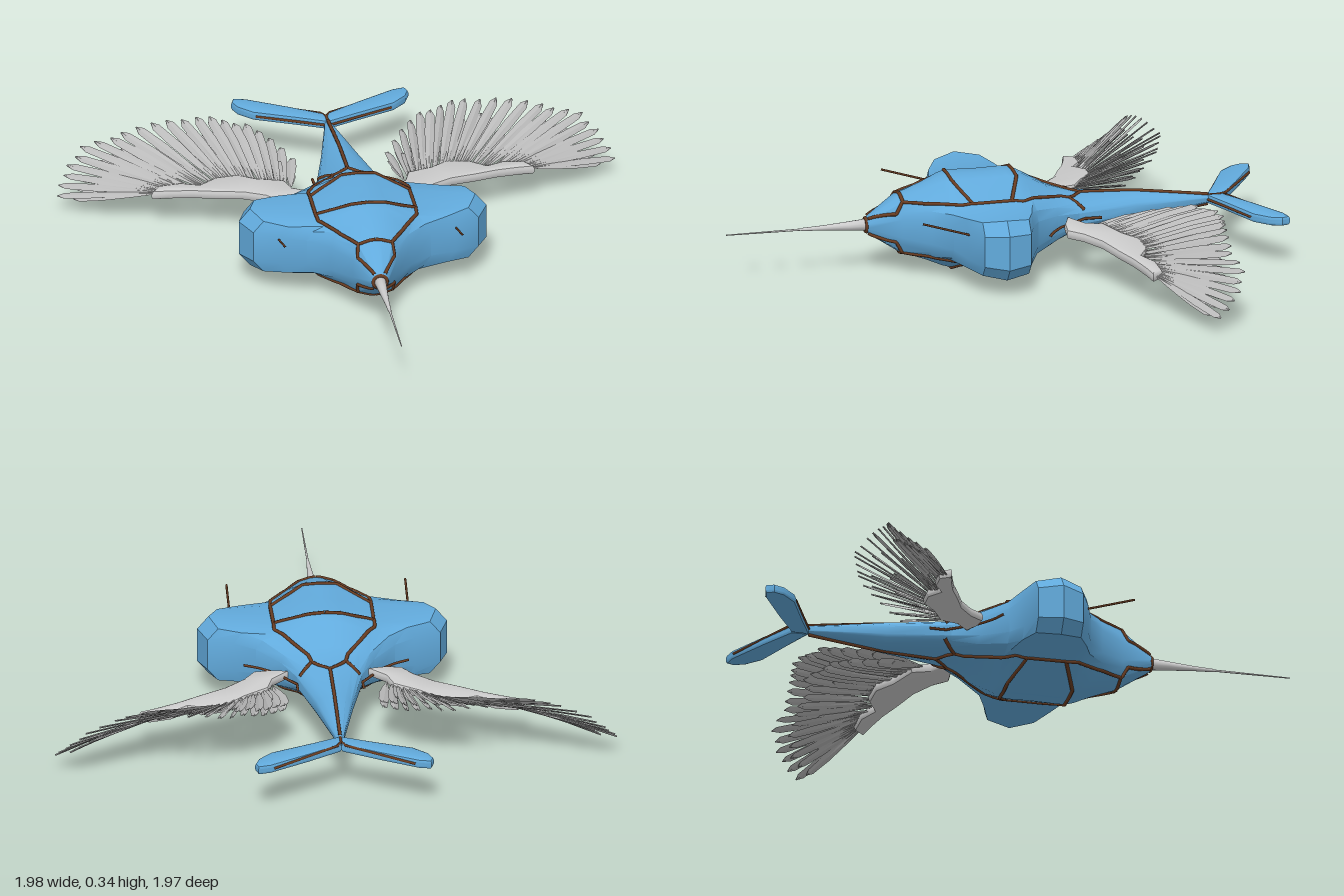
import * as THREE from 'three';
import { mergeGeometries, toCreasedNormals } from 'three/addons/utils/BufferGeometryUtils.js';

const MID = 0.175; // height of the horizontal symmetry plane
const V = (x, y, z) => new THREE.Vector3(x, y, z);
const lerp = THREE.MathUtils.lerp;

// Body stations: z, spine height, shoulder x, shoulder height, lobe height, half width
const STATIONS = [
  [0.47, 0.025, 0.015, 0.02, 0.013, 0.025],
  [0.35, 0.105, 0.06, 0.09, 0.06, 0.08],
  [0.26, 0.135, 0.11, 0.1, 0.075, 0.145],
  [0.2, 0.158, 0.16, 0.098, 0.08, 0.22],
  [0.17, 0.165, 0.18, 0.1, 0.09, 0.31],
  [0.13, 0.165, 0.18, 0.105, 0.098, 0.4],
  [0.05, 0.163, 0.18, 0.105, 0.11, 0.44],
  [-0.035, 0.165, 0.18, 0.105, 0.1, 0.41],
  [-0.065, 0.163, 0.175, 0.1, 0.095, 0.32],
  [-0.1, 0.145, 0.16, 0.1, 0.08, 0.245],
  [-0.19, 0.09, 0.11, 0.078, 0.06, 0.165],
  [-0.28, 0.062, 0.08, 0.05, 0.035, 0.115],
  [-0.5, 0.052, 0.04, 0.04, 0.025, 0.065],
  [-0.78, 0.015, 0.006, 0.012, 0.008, 0.01],
];

// Upper right quarter of a station, from the spine out to the flank
const quarter = ([, spine, sx, sh, lobe, w]) =>
  [[0, spine], [sx / 3, spine * 0.975], [sx, sh], [w * 0.91, lobe], [w, lobe * 0.57]];

function bodyRing(station) {
  const half = quarter(station);
  const right = [...half, ...half.slice().reverse().map(([x, h]) => [x, -h])];
  const left = right.slice(1, -1).reverse().map(([x, h]) => [-x, h]);
  return [...right, ...left].map(([x, h]) => V(x, MID + h, station[0]));
}

// Height of the upper skin above the symmetry plane
function skin(x, z) {
  let i = 0;
  while (i < STATIONS.length - 2 && STATIONS[i + 1][0] > z) i++;
  const a = STATIONS[i], b = STATIONS[i + 1], t = (a[0] - z) / (a[0] - b[0]);
  const qb = quarter(b);
  const q = quarter(a).map(([px, h], k) => [lerp(px, qb[k][0], t), lerp(h, qb[k][1], t)]);
  let k = 0;
  while (k < q.length - 2 && q[k + 1][0] < x) k++;
  const u = Math.min((x - q[k][0]) / (q[k + 1][0] - q[k][0]), 1);
  return lerp(q[k][1], q[k + 1][1], u);
}

// Surface joining closed rings of points
function loft(rings) {
  const n = rings[0].length, pos = [], index = [];
  rings.forEach(r => r.forEach(p => pos.push(p.x, p.y, p.z)));
  for (let i = 0; i < rings.length - 1; i++) {
    for (let j = 0; j < n; j++) {
      const a = i * n + j, b = i * n + (j + 1) % n;
      index.push(a, b, a + n, b, b + n, a + n);
    }
  }
  const g = new THREE.BufferGeometry();
  g.setAttribute('position', new THREE.Float32BufferAttribute(pos, 3));
  g.setIndex(index);
  return g;
}

function tube(points, radius) {
  const path = new THREE.CurvePath();
  for (let i = 1; i < points.length; i++) path.add(new THREE.LineCurve3(points[i - 1], points[i]));
  return new THREE.TubeGeometry(path, points.length * 3, radius, 6);
}

// Seam drawn on the skin through x/z points
function seam(points, sx, sy) {
  const out = [];
  points.forEach(([x, z], i) => {
    const [nx, nz] = points[i + 1] || [x, z], steps = i < points.length - 1 ? 6 : 1;
    for (let k = 0; k < steps; k++) {
      const px = lerp(x, nx, k / steps), pz = lerp(z, nz, k / steps);
      out.push(V(sx * px, MID + sy * (skin(px, pz) + 0.001), pz));
    }
  });
  return tube(out, 0.0065);
}

// Flat part cut from an x/z outline, with rounded edges
function plate(outline) {
  const shape = new THREE.Shape(outline.map(([x, z]) => new THREE.Vector2(x, -z)));
  const g = new THREE.ExtrudeGeometry(shape, {
    depth: 0.012, bevelThickness: 0.012, bevelSize: 0.012, bevelOffset: -0.012, bevelSegments: 2,
  });
  return g.rotateX(-Math.PI / 2).translate(0, -0.006, 0);
}

// Thin tapered blade, banked about its own length
function feather(base, tip, width, bank) {
  const d = tip.clone().sub(base).normalize();
  const s = d.clone().cross(V(0, 1, 0)).normalize().applyAxisAngle(d, bank);
  const n = s.clone().cross(d);
  const rings = [[0, 0.15], [0.3, 0.65], [0.65, 1], [0.93, 0.85], [1, 0.15]].map(([t, w]) => {
    const c = base.clone().lerp(tip, t), hw = width * w / 2;
    return [[0, 0.003], [hw, 0], [0, -0.003], [-hw, 0]]
      .map(([a, b]) => c.clone().addScaledVector(s, a).addScaledVector(n, b));
  });
  const g = loft(rings).toNonIndexed();
  g.computeVertexNormals();
  return g;
}

export function createModel() {
  const model = new THREE.Group();
  const paint = (name, color) => {
    const m = new THREE.MeshStandardMaterial({ color });
    m.name = name;
    return m;
  };
  const blue = paint('skyBlue', 0x62abdd), brown = paint('bronzeBrown', 0x6a3d22);
  const pale = paint('paleGrey', 0xcccccc), grey = paint('featherGrey', 0xbababa);
  const add = (parent, name, geometry, material) => {
    const m = new THREE.Mesh(geometry, material);
    m.name = name;
    parent.add(m);
    return m;
  };

  add(model, 'body', toCreasedNormals(loft(STATIONS.map(bodyRing)), 0.5), blue);

  // Seams, repeated on all four quarters
  const seams = [
    [[0, -0.065], [0.06, -0.065], [0.177, -0.02], [0.178, 0.12], [0.06, 0.17], [0, 0.17]],
    [[0.177, -0.02], [0.178, -0.06], [0.12, -0.15], [0.07, -0.22], [0.06, -0.255], [0, -0.31], [0, -0.77]],
    [[0.06, -0.255], [0.105, -0.3]],
    [[0.178, 0.12], [0.175, 0.165], [0.12, 0.25], [0.06, 0.345], [0, 0.345]],
    [[0.06, 0.345], [0.065, 0.37], [0.018, 0.46]],
  ];
  const trims = [];
  for (const sx of [1, -1]) {
    for (const sy of [1, -1]) seams.forEach(p => trims.push(seam(p, sx, sy)));
    // Bars at the wing roots
    trims.push(tube([V(sx * 0.29, MID, -0.13), V(sx * 0.24, MID, -0.155), V(sx * 0.19, MID, -0.195),
      V(sx * 0.115, MID, -0.3), V(sx * 0.117, MID, -0.36)], 0.005));
    // Bindings along the tail fin edges
    trims.push(tube([V(0, MID, -0.765), V(sx * 0.1, MID, -0.81), V(sx * 0.24, MID, -0.872)], 0.005));
    trims.push(tube([V(0, MID + 0.014, -0.77), V(0, MID + 0.014, -0.83), V(sx * 0.25, MID, -0.98)], 0.005));
  }
  trims.push(new THREE.TorusGeometry(0.024, 0.007, 6, 16).translate(0, MID, 0.465));
  add(model, 'seams', mergeGeometries(trims), brown);

  // Long needle beak
  const beak = new THREE.LatheGeometry([[0, 0.45], [0.022, 0.46], [0.016, 0.53], [0.009, 0.62], [0.006, 0.69],
    [0.004, 0.7], [0.002, 0.97], [0, 0.97]].map(([r, y]) => new THREE.Vector2(r, y)), 12);
  add(model, 'beak', beak.rotateX(Math.PI / 2).translate(0, MID, 0), pale);

  // Wing arm, drooping outwards
  const arm = plate([[0.14, -0.23], [0.2, -0.205], [0.26, -0.2], [0.3, -0.25], [0.37, -0.3], [0.46, -0.335],
    [0.54, -0.37], [0.62, -0.395], [0.68, -0.41], [0.65, -0.45], [0.57, -0.445], [0.51, -0.41], [0.45, -0.445],
    [0.37, -0.44], [0.31, -0.39], [0.22, -0.345], [0.2, -0.28]]);
  const armY = x => 0.18 - 0.1 * (x - 0.15);
  const p = arm.attributes.position;
  for (let i = 0; i < p.count; i++) p.setY(i, p.getY(i) + armY(p.getX(i)));
  const armGeometry = toCreasedNormals(arm, 0.7);

  // Feather layers fanned between the arm and an arc of tips
  const roots = new THREE.CatmullRomCurve3([[0.2, -0.31], [0.3, -0.36], [0.42, -0.41], [0.55, -0.42], [0.65, -0.42]]
    .map(([x, z]) => V(x, armY(x), z)));
  const tips = new THREE.CatmullRomCurve3([[0.17, 0.2, -0.51], [0.26, 0.24, -0.63], [0.36, 0.26, -0.68],
    [0.47, 0.27, -0.71], [0.62, 0.275, -0.7], [0.76, 0.25, -0.68], [0.88, 0.2, -0.69], [0.96, 0.13, -0.66],
    [0.99, 0.065, -0.58]].map(a => V(...a)));
  let seed = 7;
  const rnd = () => (seed = (seed * 16807) % 2147483647) / 2147483647 - 0.5;
  const blades = [];
  for (const [count, reach, drop, width] of [[22, 1, 0, 0.042], [19, 0.84, 0.035, 0.038], [15, 0.58, 0.015, 0.034]]) {
    for (let i = 0; i < count; i++) {
      const t = i / (count - 1), base = roots.getPoint(t);
      const tip = base.clone().lerp(tips.getPoint(t), reach * (t < 0.95 ? 0.98 + 0.07 * rnd() : 1));
      tip.y -= drop * (1 - t * 0.6) + 0.02 * rnd() * (1 - t);
      blades.push(feather(base, tip, width * (1 - 0.3 * t), 0.55 + 0.4 * rnd()));
    }
  }
  const feathers = mergeGeometries(blades);

  // Tail fin
  const fin = toCreasedNormals(plate([[0, -0.765], [0.1, -0.81], [0.25, -0.875], [0.3, -0.925], [0.315, -0.965],
    [0.305, -0.995], [0.26, -0.985], [0.12, -0.905], [0, -0.83]]), 0.6).translate(0, MID, 0);

  for (const [side, sx] of [['left', 1], ['right', -1]]) {
    const wing = new THREE.Group();
    wing.name = side + 'Wing';
    wing.scale.x = sx;
    add(wing, 'wingArm', armGeometry, pale);
    add(wing, 'feathers', feathers, grey);
    model.add(wing);
    add(model, side + 'TailFin', fin, blue).scale.x = sx;
    add(model, side + 'Rod', tube([V(sx * 0.315, 0.21, 0.15), V(sx * 0.315, 0.268, 0.335)], 0.004), brown);
  }
  return model;
}
